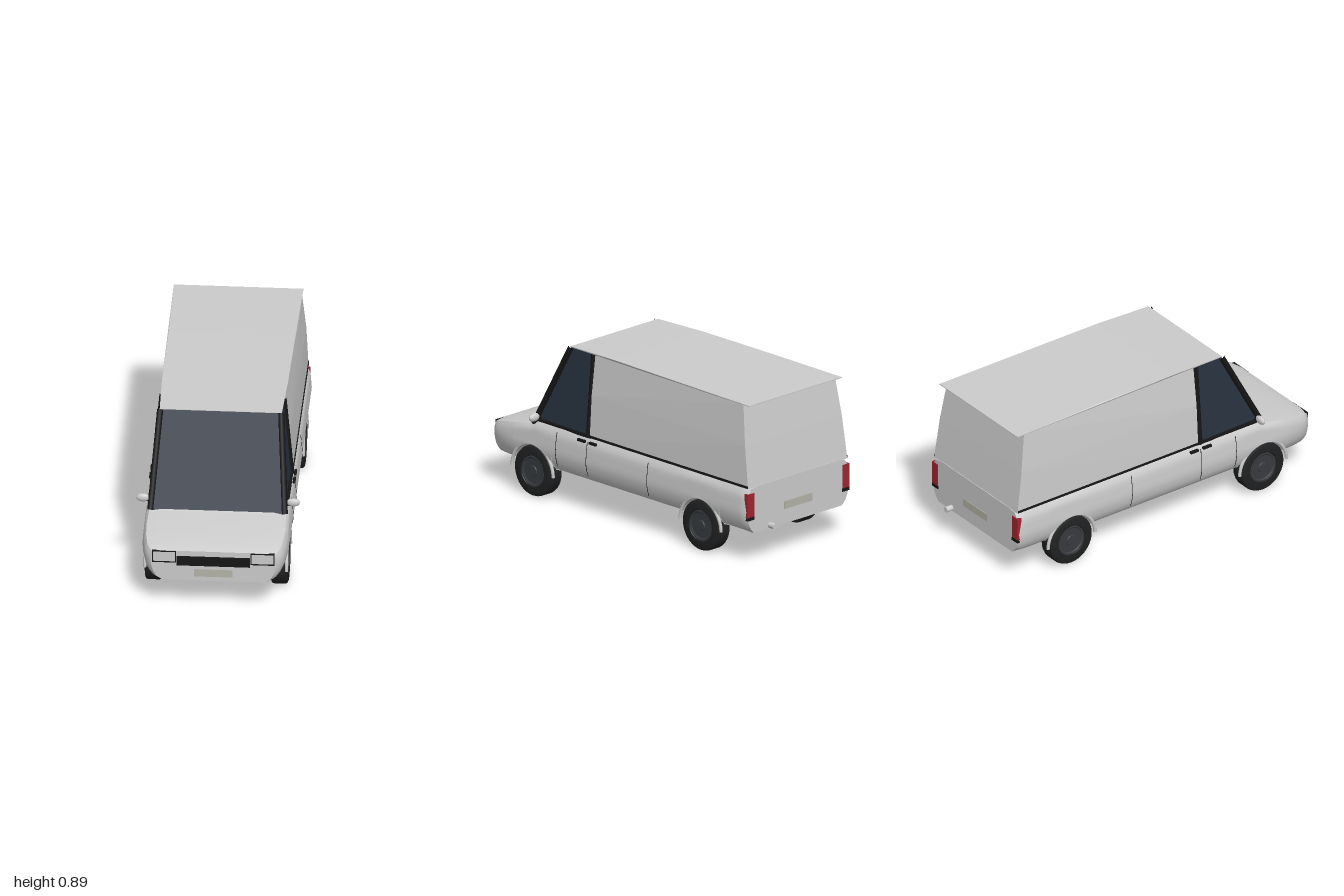
import * as THREE from 'three';
import { toCreasedNormals } from 'three/addons/utils/BufferGeometryUtils.js';
import { ConvexGeometry } from 'three/addons/geometries/ConvexGeometry.js';

const mat = (color) => new THREE.MeshStandardMaterial({ color });
const paint = mat(0xcccccc), black = mat(0x161616), glass = mat(0x28323f);
const rubber = mat(0x202122), rimGrey = mat(0x383b40), red = mat(0xa02530), plate = mat(0xb4b4a8);
const AXLES = [0.665, -0.605], ARCH = 0.155, WHEEL_Y = 0.14;
const V = (x, y, z) => new THREE.Vector3(x, y, z);

// Linear lookup in a short table of [key, value] with rising keys
function lookup(table, k) {
  if (k <= table[0][0]) return table[0][1];
  for (let i = 1; i < table.length; i++) {
    const [k0, v0] = table[i - 1], [k1, v1] = table[i];
    if (k <= k1) return v0 + (v1 - v0) * (k - k0) / (k1 - k0);
  }
  return table[table.length - 1][1];
}
const SIDE = [[0.16, 0.3], [0.175, 0.345], [0.21, 0.372], [0.25, 0.385], [0.29, 0.39], [0.38, 0.383], [0.43, 0.37]];
const WIDTH = [[-0.96, 0.97], [-0.93, 1], [0.8, 1], [0.88, 0.985], [0.95, 0.95], [0.98, 0.905], [0.995, 0.86]];
const TOP = [[0.64, 0.43], [0.68, 0.41], [0.76, 0.397], [0.88, 0.374], [0.96, 0.354], [0.995, 0.34]];
const BOTTOM = [[-0.96, 0.172], [-0.9, 0.16], [0.95, 0.16], [0.995, 0.166]];

// Body cross-section at z, with the wheel well notched into the lower side
function section(z) {
  const w = lookup(WIDTH, z), yt = lookup(TOP, z), yb = lookup(BOTTOM, z);
  let yl = yb;
  for (const a of AXLES) {
    const d = Math.abs(z - a);
    if (d < ARCH) yl = Math.max(yl, WHEEL_Y + Math.sqrt(ARCH * ARCH - d * d));
  }
  const half = [[0.27 * w, yb], [0.27 * w, yl]];
  const n = 10;
  for (let i = 0; i <= n; i++) {
    const y = yl + (yt - 0.008 - yl) * i / n;
    const s = Math.max(0, (y - (yt - 0.045)) / 0.045);
    half.push([lookup(SIDE, y) * w * (1 - 0.05 * s * s), y]);
  }
  half.push([0.3 * w, yt]);
  const ring = [[0, yb], ...half, [0, yt], ...half.map(([x, y]) => [-x, y]).reverse()];
  return ring.map(([x, y]) => V(x, y, z));
}

// Closed loft through rings running from front to back
function loft(rings) {
  const pos = [], n = rings[0].length;
  const tri = (...p) => p.forEach((v) => pos.push(v.x, v.y, v.z));
  for (let i = 0; i < rings.length - 1; i++) for (let j = 0; j < n; j++) {
    const k = (j + 1) % n, a = rings[i], b = rings[i + 1];
    tri(a[j], b[j], a[k]);
    tri(a[k], b[j], b[k]);
  }
  const f = rings[0], r = rings[rings.length - 1];
  for (let j = 1; j < n - 1; j++) {
    tri(f[0], f[j], f[j + 1]);
    tri(r[0], r[j + 1], r[j]);
  }
  const g = new THREE.BufferGeometry();
  g.setAttribute('position', new THREE.Float32BufferAttribute(pos, 3));
  return toCreasedNormals(g, 0.6);
}

export function createModel() {
  const van = new THREE.Group();
  van.name = 'van';
  const add = (name, geometry, material, x = 0, y = 0, z = 0) => {
    const m = new THREE.Mesh(geometry, material);
    m.name = name;
    m.position.set(x, y, z);
    van.add(m);
    return m;
  };
  const box = (name, material, w, h, d, x, y, z) => add(name, new THREE.BoxGeometry(w, h, d), material, x, y, z);
  const rod = (name, material, a, b, r) => add(name, new THREE.TubeGeometry(new THREE.LineCurve3(a, b), 1, r, 8), material);
  // Mirrored hull from half-width points
  const hull = (name, material, pts) =>
    add(name, new ConvexGeometry(pts.flatMap(([x, y, z]) => [V(x, y, z), V(-x, y, z)])), material);

  // Lower body
  const zs = [0.995, 0.988, 0.98, 0.965, 0.95, 0.915, 0.88, 0.84, 0.68, 0.64, 0.3, 0, -0.3, -0.85, -0.9, -0.93, -0.945, -0.96];
  for (const a of AXLES) {
    for (let i = 0; i <= 16; i++) zs.push(a + ARCH * Math.cos(i * Math.PI / 16) * 0.992);
    zs.push(a + ARCH, a - ARCH);
  }
  zs.sort((a, b) => b - a);
  add('body', loft(zs.map(section)), paint);
  box('underside', black, 0.515, 0.025, 1.58, 0, 0.1525, 0.02);

  // Cab glass, cargo box and roof
  hull('cabGlass', glass, [[0.355, 0.405, 0.678], [0.365, 0.42, 0.24], [0.316, 0.882, 0.43], [0.324, 0.882, 0.24]]);
  hull('cargoBox', paint, [
    [0.37, 0.425, 0.24], [0.37, 0.425, -0.957], [0.356, 0.66, 0.24], [0.361, 0.66, -0.925],
    [0.328, 0.882, 0.24], [0.34, 0.88, -0.892]]);
  hull('roof', paint, [
    [0.325, 0.879, 0.43], [0.325, 0.884, 0.43], [0.335, 0.89, 0.1], [0.335, 0.89, -0.4],
    [0.345, 0.877, -0.94], [0.345, 0.882, -0.94]]);

  // Parts on both sides
  for (const s of [1, -1]) {
    rod('windscreenPillar', black, V(s * 0.357, 0.405, 0.672), V(s * 0.322, 0.882, 0.428), 0.017);
    rod('doorPillar', black, V(s * 0.363, 0.425, 0.255), V(s * 0.322, 0.88, 0.255), 0.016);
    box('beltStrip', black, 0.02, 0.012, 1.58, s * 0.364, 0.434, -0.165);
    for (const [z, d] of [[0.29, 0.055], [0.205, 0.05]]) box('doorHandle', black, 0.014, 0.013, d, s * 0.382, 0.403, z);
    for (const z of [0.48, 0.25, -0.21]) {
      const pts = [0.21, 0.25, 0.29, 0.34, 0.38, 0.4].map((y) => V(s * (lookup(SIDE, y) - 0.0005), y, z));
      add('doorSeam', new THREE.TubeGeometry(new THREE.CatmullRomCurve3(pts), 10, 0.002, 5), black);
    }
    // Wing mirror
    add('mirror', new THREE.SphereGeometry(1, 20, 14), paint, s * 0.4, 0.455, 0.63).scale.set(0.036, 0.023, 0.016);
    box('mirrorArm', black, 0.05, 0.01, 0.012, s * 0.373, 0.442, 0.63);

    // Headlight frame
    const frame = new THREE.Shape([[-0.064, -0.034], [0.064, -0.034], [0.064, 0.034], [-0.064, 0.034]].map((p) => new THREE.Vector2(...p)));
    frame.holes.push(new THREE.Path([[-0.05, -0.029], [-0.05, 0.029], [0.05, 0.029], [0.05, -0.029]].map(([x, y]) => new THREE.Vector2(x * 1.18, y))));
    add('headlightFrame', new THREE.ExtrudeGeometry(frame, { depth: 0.015, bevelEnabled: false }), black, s * 0.262, 0.304, 0.984);
    // Tail light
    box('tailLight', red, 0.05, 0.13, 0.025, s * 0.355, 0.332, -0.952);
    box('tailLightBase', black, 0.05, 0.018, 0.024, s * 0.353, 0.257, -0.952);

    for (const z of AXLES) {
      // Arch lip, tyre, rim and hub
      const lip = add('archLip', new THREE.TorusGeometry(ARCH, 0.009, 8, 24, Math.PI), paint, s * 0.377, WHEEL_Y, z);
      lip.rotation.y = Math.PI / 2;
      const wheel = new THREE.Group();
      wheel.name = 'wheel';
      const spin = (name, profile, material) => {
        const g = new THREE.LatheGeometry(profile.map((p) => new THREE.Vector2(...p)), 36);
        const m = new THREE.Mesh(toCreasedNormals(g, 0.5), material);
        m.name = name;
        wheel.add(m);
      };
      spin('tyre', [[0, -0.045], [0.125, -0.045], [0.136, -0.04], [0.14, -0.03], [0.14, 0.03], [0.136, 0.04], [0.125, 0.045], [0.088, 0.045], [0.084, 0.036], [0, 0.036]], rubber);
      spin('rim', [[0.084, 0.03], [0.084, 0.042], [0.078, 0.043], [0.07, 0.038], [0.03, 0.038], [0.027, 0.043], [0, 0.044]], rimGrey);
      wheel.rotation.z = -s * Math.PI / 2;
      wheel.position.set(s * 0.335, WHEEL_Y, z);
      van.add(wheel);
    }
  }

  // Front and rear details
  box('grille', black, 0.39, 0.055, 0.02, 0, 0.282, 0.99);
  box('frontPlate', plate, 0.206, 0.044, 0.016, 0, 0.212, 0.99);
  box('rearPlate', plate, 0.21, 0.044, 0.016, 0, 0.275, -0.955);
  const exhaust = add('exhaust', new THREE.CylinderGeometry(0.016, 0.016, 0.08, 16), paint, 0.21, 0.19, -0.96);
  exhaust.rotation.x = Math.PI / 2;
  return van;
}
